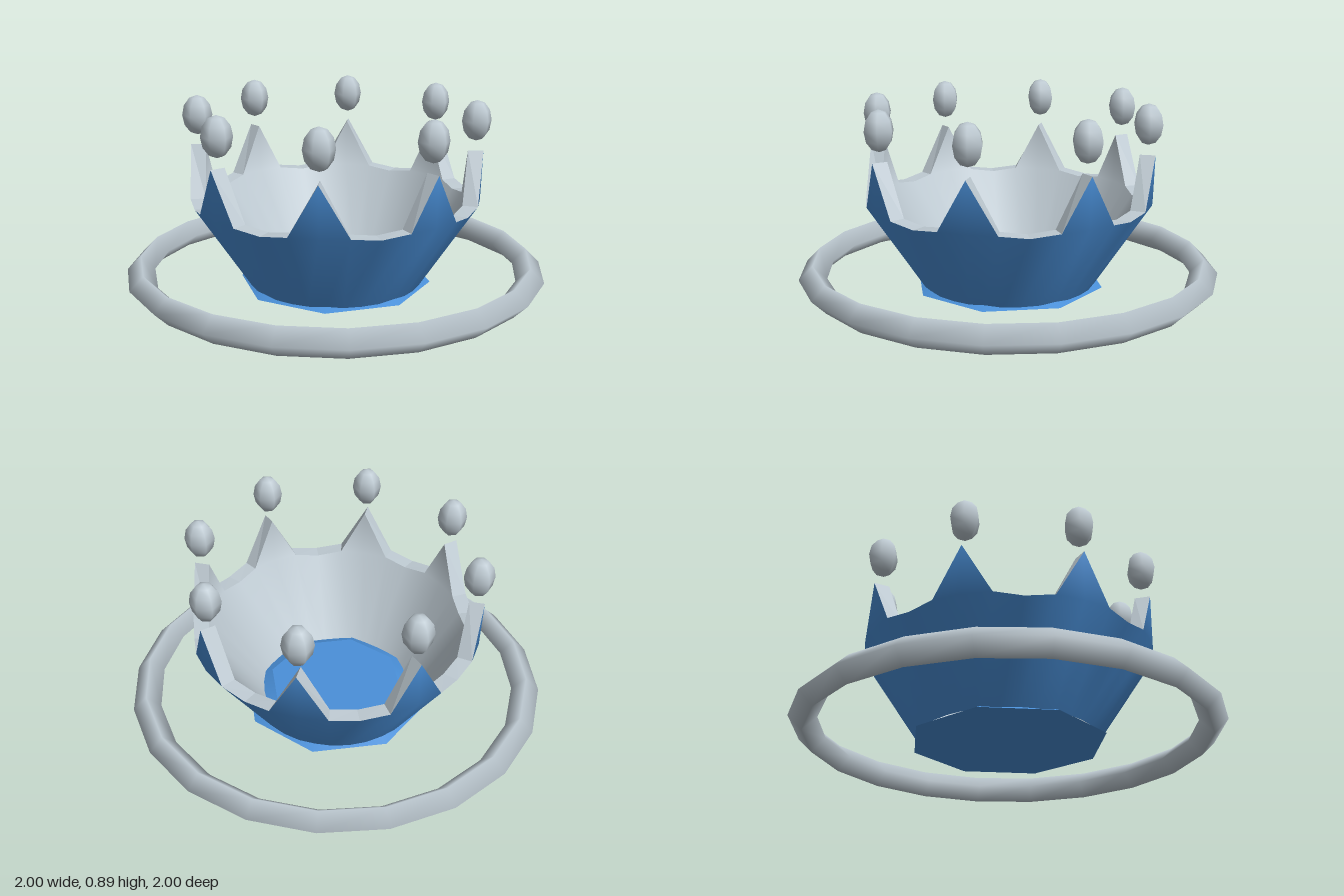
import * as THREE from 'three';

const SPIKES = 8, COLS = SPIKES * 4;

// Height of the rim at a column: peak, shoulder, valley, shoulder
const rimY = (i) => [0.655, 0.42, 0.405, 0.42][i % 4];

// Wall radius at a height: flared cup, then nearly upright spikes
const wallR = (y) => (y <= 0.42 ? 0.41 + (y / 0.42) * 0.275 : 0.685 + ((y - 0.42) / 0.235) * 0.008);

function wallPoint(i, y, inset) {
  const a = (i / COLS) * Math.PI * 2, r = wallR(y) - inset;
  return [Math.sin(a) * r, y, Math.cos(a) * r];
}

function toGeometry(positions, index) {
  const g = new THREE.BufferGeometry();
  g.setAttribute('position', new THREE.Float32BufferAttribute(positions, 3));
  if (index) g.setIndex(index);
  g.computeVertexNormals();
  return g;
}

// One skin of the crown wall, facing out or in
function wallSkin(inset, inward) {
  const pos = [], index = [];
  for (let i = 0; i < COLS; i++) {
    pos.push(...wallPoint(i, 0.01, inset));
    pos.push(...wallPoint(i, Math.min(rimY(i), 0.42), inset));
    pos.push(...wallPoint(i, rimY(i), inset));
  }
  const tri = (a, b, c) => (inward ? index.push(a, c, b) : index.push(a, b, c));
  for (let i = 0; i < COLS; i++) {
    const a = i * 3, b = ((i + 1) % COLS) * 3;
    tri(a, b, b + 1);
    tri(a, b + 1, a + 1);
    // Half of a spike beside each peak column
    if (i % 4 === 0) tri(a + 1, b + 1, a + 2);
    if (i % 4 === 3) tri(a + 1, b + 1, b + 2);
  }
  return toGeometry(pos, index);
}

// Flat strip joining the two skins along the zigzag edge
function rimStrip(inset) {
  const pos = [];
  for (let i = 0; i < COLS; i++) {
    const o0 = wallPoint(i, rimY(i), 0), o1 = wallPoint(i + 1, rimY(i + 1), 0);
    const n0 = wallPoint(i, rimY(i), inset), n1 = wallPoint(i + 1, rimY(i + 1), inset);
    pos.push(...o0, ...o1, ...n1, ...o0, ...n1, ...n0);
  }
  return toGeometry(pos);
}

export function createModel() {
  const group = new THREE.Group();
  const blue = new THREE.MeshStandardMaterial({ name: 'blue', color: 0x4a90d9 });
  const silver = new THREE.MeshStandardMaterial({ name: 'silver', color: 0xbecad2 });

  const add = (name, geometry, material) => {
    const mesh = new THREE.Mesh(geometry, material);
    mesh.name = name;
    group.add(mesh);
    return mesh;
  };

  // Crown wall
  const thickness = 0.072;
  add('crownOuterWall', wallSkin(0, false), blue);
  add('crownInnerWall', wallSkin(thickness, true), silver);
  add('crownRim', rimStrip(thickness), silver);

  // Octagonal base plate
  add('basePlate', new THREE.CylinderGeometry(0.33, 0.46, 0.06, 8), blue).position.y = 0.03;

  // Ring around the foot
  const ring = new THREE.TorusGeometry(0.934, 0.066, 4, 20).rotateX(-Math.PI / 2);
  add('footRing', ring, silver).position.y = 0.067;

  // Beads floating over the spikes
  const bead = new THREE.SphereGeometry(1, 6, 6).scale(0.071, 0.095, 0.071);
  for (let i = 0; i < SPIKES; i++) {
    const a = (i / SPIKES) * Math.PI * 2;
    add('bead', bead, silver).position.set(Math.sin(a) * 0.657, 0.798, Math.cos(a) * 0.657);
  }
  return group;
}
